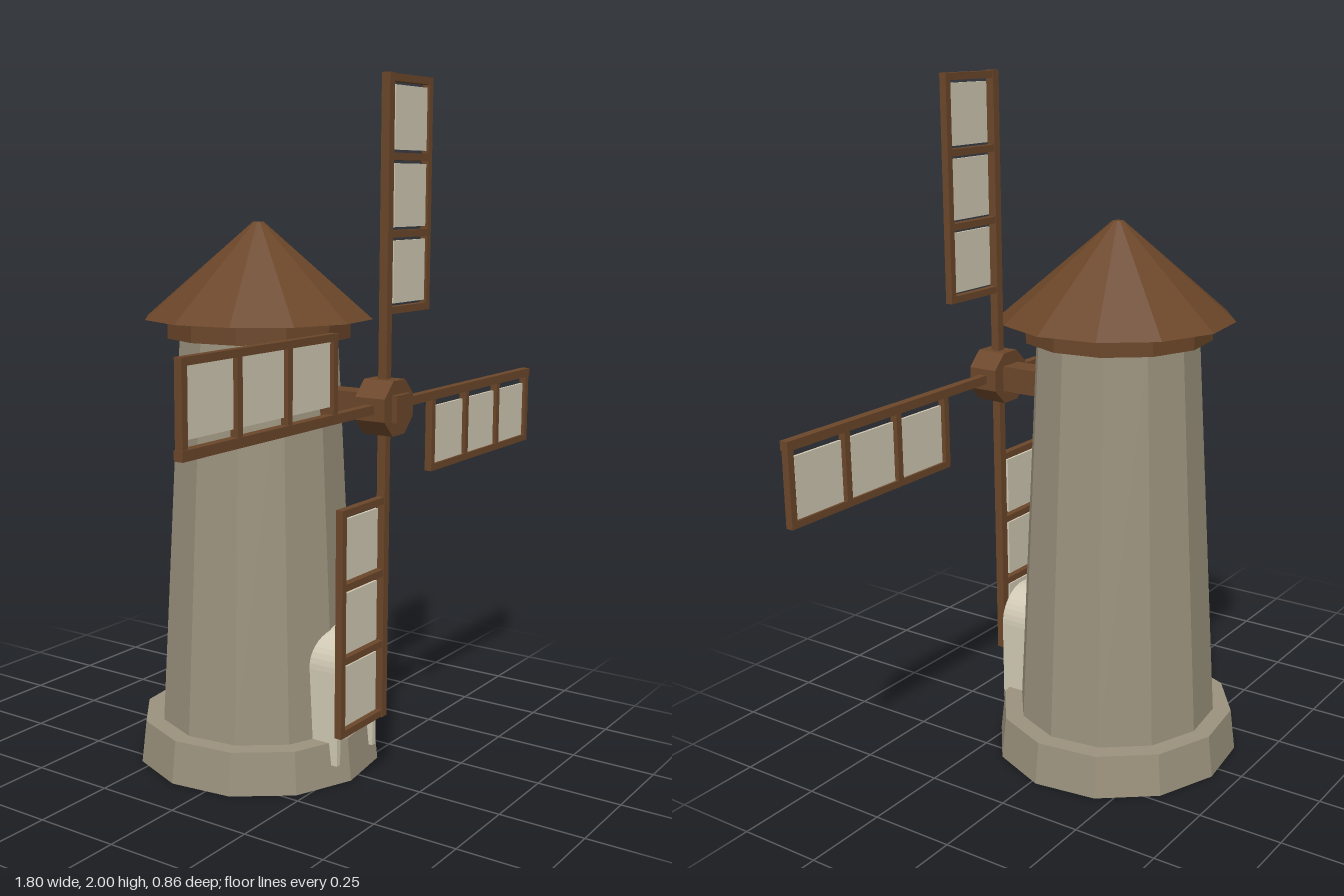
import * as THREE from 'three';

const material = (name, color) => {
  const m = new THREE.MeshStandardMaterial({ color, flatShading: true });
  m.name = name;
  return m;
};

export function createModel() {
  const stone = material('stone', 0x9b927d);
  const wood = material('brown wood', 0x6b4629);
  const cream = material('cream', 0xd0c8b3);

  const model = new THREE.Group();
  model.name = 'windmill';

  const add = (parent, name, geometry, mat, x = 0, y = 0, z = 0) => {
    const mesh = new THREE.Mesh(geometry, mat);
    mesh.name = name;
    mesh.position.set(x, y, z);
    parent.add(mesh);
    return mesh;
  };
  const box = (parent, name, mat, w, h, d, x, y, z) =>
    add(parent, name, new THREE.BoxGeometry(w, h, d), mat, x, y, z);

  // Twelve-sided tower, stacked from base to roof
  const ring = (name, mat, rTop, rBottom, y0, y1) =>
    add(model, name,
      new THREE.CylinderGeometry(rTop, rBottom, y1 - y0, 12, 1, false, Math.PI / 8),
      mat, 0, (y0 + y1) / 2, -0.064);
  ring('base', stone, 0.352, 0.366, 0, 0.125);
  ring('tower', stone, 0.236, 0.298, 0.12, 1.28);
  ring('roofBand', wood, 0.272, 0.272, 1.27, 1.33);
  ring('roof', wood, 0.016, 0.337, 1.325, 1.6);

  // Arched outline used for the door and its frame
  const arch = (PathType, r, bottom) => {
    const p = new PathType();
    p.moveTo(-r, bottom);
    p.lineTo(r, bottom);
    p.lineTo(r, 0.335);
    p.absarc(0, 0.335, r, 0, Math.PI, false);
    p.lineTo(-r, bottom);
    return p;
  };
  const extrude = (shape, depth) =>
    new THREE.ExtrudeGeometry(shape, { depth, bevelEnabled: false, curveSegments: 10 });

  // Door, with a frame open at the bottom
  add(model, 'door', extrude(arch(THREE.Shape, 0.092, 0.06), 0.1), wood, 0, 0, 0.15);
  const frame = new THREE.Shape();
  frame.moveTo(0.088, 0.06);
  frame.lineTo(0.106, 0.06);
  frame.lineTo(0.106, 0.335);
  frame.absarc(0, 0.335, 0.106, 0, Math.PI, false);
  frame.lineTo(-0.106, 0.06);
  frame.lineTo(-0.088, 0.06);
  frame.lineTo(-0.088, 0.335);
  frame.absarc(0, 0.335, 0.088, Math.PI, 0, true);
  add(model, 'doorFrame', extrude(frame, 0.127), cream, 0, 0, 0.16);
  add(model, 'doorKnob', new THREE.SphereGeometry(0.018, 8, 6), wood, 0.012, 0.208, 0.26);

  // Rotor: shaft, octagonal hub and four sails
  const rotor = new THREE.Group();
  rotor.name = 'rotor';
  rotor.position.set(0, 1.1, 0.366);
  model.add(rotor);
  box(rotor, 'shaft', wood, 0.076, 0.076, 0.303, 0, 0, -0.0885);
  const hub = new THREE.CylinderGeometry(0.083, 0.083, 0.094, 8, 1, false, Math.PI / 8);
  add(rotor, 'hub', hub.rotateX(Math.PI / 2), wood);

  const bars = [0.264, 0.472, 0.68, 0.888];
  for (let i = 0; i < 4; i++) {
    const sail = new THREE.Group();
    sail.name = 'sail';
    sail.rotation.z = -i * Math.PI / 2;
    rotor.add(sail);
    box(sail, 'sailArm', wood, 0.026, 0.9, 0.026, 0, 0.45, 0);
    box(sail, 'sailRail', wood, 0.02, 0.644, 0.022, 0.215, 0.576, 0);
    bars.forEach((y, j) => {
      box(sail, 'sailBar', wood, 0.225, 0.02, 0.022, 0.1125, y, 0);
      if (j < 3) box(sail, 'sailCloth', cream, 0.172, 0.172, 0.008, 0.12, y + 0.104, 0);
    });
  }
  return model;
}
